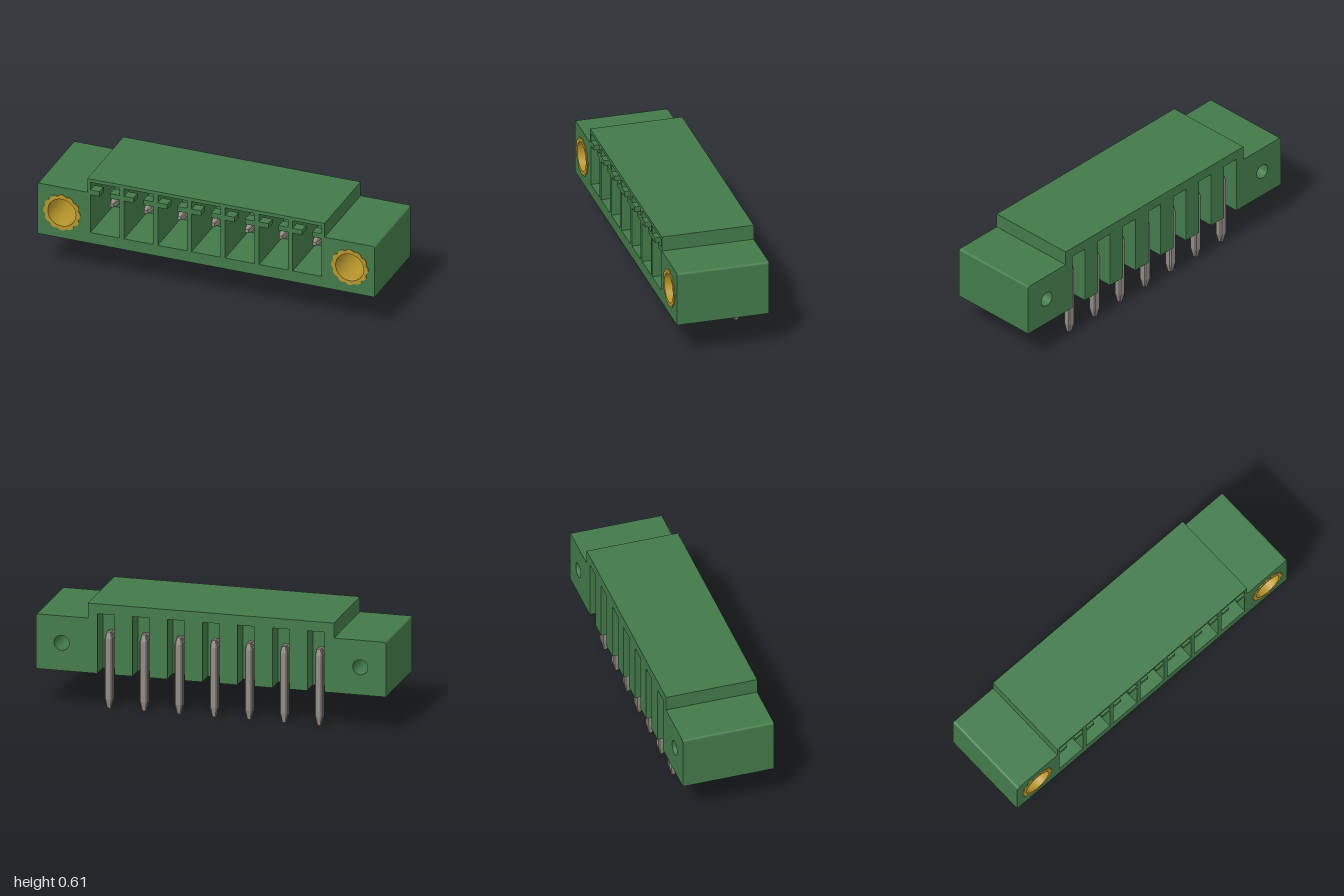
import * as THREE from 'three';

const PITCH = 0.2, COUNT = 7, PIN_Y = 0.415, PIN_Z = -0.193;
const BOTTOM = 0.213, FLANGE_TOP = 0.527, TOP = 0.613, BACK = -0.265, FRONT = 0.262;
const SCREW_X = 0.853, SCREW_Y = 0.372;
const columns = Array.from({ length: COUNT }, (_, i) => (i - (COUNT - 1) / 2) * PITCH);

const green = new THREE.MeshStandardMaterial({ color: 0x437a4a });
green.name = 'green plastic';
const brass = new THREE.MeshStandardMaterial({ color: 0xb8962c, side: THREE.DoubleSide });
brass.name = 'brass';
const tin = new THREE.MeshStandardMaterial({ color: 0x918b84 });
tin.name = 'tinned metal';

function add(parent, name, geometry, material, x = 0, y = 0, z = 0) {
  const mesh = new THREE.Mesh(geometry, material);
  mesh.name = name;
  mesh.position.set(x, y, z);
  parent.add(mesh);
  return mesh;
}

// Housing outline; the rear layer gets open-bottomed slots for the pins
function outline(slotted) {
  const s = new THREE.Shape();
  const c = 0.015;
  s.moveTo(-1, BOTTOM);
  if (slotted) {
    for (const x of columns) {
      s.lineTo(x - 0.049, BOTTOM);
      s.lineTo(x - 0.049, 0.556);
      s.lineTo(x + 0.049, 0.556);
      s.lineTo(x + 0.049, BOTTOM);
    }
  }
  s.lineTo(1, BOTTOM);
  s.lineTo(1, FLANGE_TOP - c);
  s.quadraticCurveTo(1, FLANGE_TOP, 1 - c, FLANGE_TOP);
  s.lineTo(0.703, FLANGE_TOP);
  s.lineTo(0.703, TOP);
  s.lineTo(-0.703, TOP);
  s.lineTo(-0.703, FLANGE_TOP);
  s.lineTo(-1 + c, FLANGE_TOP);
  s.quadraticCurveTo(-1, FLANGE_TOP, -1, FLANGE_TOP - c);
  s.closePath();
  return s;
}

// One slice of the housing between two depths
function layer(parent, name, z0, z1, { slotted = false, pockets = false, screwRadius }) {
  const s = outline(slotted);
  for (const side of [-1, 1]) {
    s.holes.push(new THREE.Path().absarc(side * SCREW_X, SCREW_Y, screwRadius, 0, Math.PI * 2, true));
  }
  if (pockets) {
    for (const x of columns) {
      s.holes.push(new THREE.Path([
        [-0.086, 0.28], [-0.086, 0.592], [0.086, 0.592], [0.086, 0.28],
      ].map(([px, py]) => new THREE.Vector2(x + px, py))));
    }
  }
  const geometry = new THREE.ExtrudeGeometry(s, { depth: z1 - z0, bevelEnabled: false, curveSegments: 20 });
  add(parent, name, geometry, green, 0, 0, z0);
}

// Square bar with small chamfers, lofted along y from [height, width] rings
function bar(rings) {
  const corners = [[1, 0.7], [0.7, 1], [-0.7, 1], [-1, 0.7], [-1, -0.7], [-0.7, -1], [0.7, -1], [1, -0.7]];
  const pos = [], index = [];
  for (const [y, w] of rings) for (const [a, b] of corners) pos.push(a * w / 2, y, b * w / 2);
  const last = (rings.length - 1) * 8;
  for (let r = 0; r < rings.length - 1; r++) {
    for (let i = 0; i < 8; i++) {
      const a = r * 8 + i, b = r * 8 + (i + 1) % 8;
      index.push(a, a + 8, b, b, a + 8, b + 8);
    }
  }
  for (let i = 1; i < 7; i++) {
    index.push(0, i, i + 1);
    index.push(last, last + i + 1, last + i);
  }
  let g = new THREE.BufferGeometry();
  g.setAttribute('position', new THREE.Float32BufferAttribute(pos, 3));
  g.setIndex(index);
  g = g.toNonIndexed();
  g.computeVertexNormals();
  return g;
}

// Flat brass collar with a scalloped rim
function collarGeometry() {
  const points = [];
  for (let i = 0; i < 96; i++) {
    const a = i / 96 * Math.PI * 2;
    const r = 0.1 + 0.01 * Math.abs(Math.cos(a * 6));
    points.push(new THREE.Vector2(Math.cos(a) * r, Math.sin(a) * r));
  }
  const s = new THREE.Shape(points);
  s.holes.push(new THREE.Path().absarc(0, 0, 0.083, 0, Math.PI * 2, true));
  return new THREE.ExtrudeGeometry(s, { depth: 0.007, bevelEnabled: false, curveSegments: 24 });
}

export function createModel() {
  const model = new THREE.Group();
  model.name = 'pinHeader';

  const housing = new THREE.Group();
  housing.name = 'housing';
  model.add(housing);
  layer(housing, 'housingFront', 0, FRONT, { pockets: true, screwRadius: 0.086 });
  layer(housing, 'housingMiddle', -0.1, 0, { pockets: true, screwRadius: 0.043 });
  layer(housing, 'housingWall', -0.15, -0.1, { screwRadius: 0.043 });
  layer(housing, 'housingRear', BACK, -0.15, { slotted: true, screwRadius: 0.043 });

  // Latch ledges, corner keys and pin bosses inside each pocket
  const ledge = new THREE.BoxGeometry(0.056, 0.03, 0.06);
  const lowerKey = new THREE.BoxGeometry(0.04, 0.065, 0.03);
  const upperKey = new THREE.BoxGeometry(0.04, 0.07, 0.03);
  const boss = new THREE.CylinderGeometry(0.027, 0.048, 0.02, 24).rotateX(Math.PI / 2);
  for (const x of columns) {
    for (const side of [-1, 1]) {
      add(housing, 'latchLedge', ledge, green, x + side * 0.058, 0.53, FRONT - 0.03);
      add(housing, 'lowerKey', lowerKey, green, x + side * 0.066, 0.3125, -0.086);
      add(housing, 'upperKey', upperKey, green, x + side * 0.066, 0.48, -0.086);
    }
    add(housing, 'pinBoss', boss, green, x, PIN_Y, -0.091);
  }

  // Right-angle pins: a solder leg going down and a contact going forward
  const leg = bar([[0, 0.022], [0.055, 0.045], [0.4, 0.045], [0.438, 0.028]]);
  const contact = bar([[PIN_Z, 0.04], [0.13, 0.04], [0.16, 0.02]]).rotateX(Math.PI / 2);
  for (const x of columns) {
    const pin = new THREE.Group();
    pin.name = 'pin';
    pin.position.x = x;
    add(pin, 'solderLeg', leg, tin, 0, 0, PIN_Z);
    add(pin, 'contact', contact, tin, 0, PIN_Y, 0);
    model.add(pin);
  }

  // Brass inserts in the flanges
  const collar = collarGeometry();
  const sleeve = new THREE.LatheGeometry(
    [[0.083, 0.262], [0.083, 0.004]].map(p => new THREE.Vector2(...p)), 40).rotateX(Math.PI / 2);
  const seat = new THREE.RingGeometry(0.043, 0.083, 40);
  for (const side of [-1, 1]) {
    const insert = new THREE.Group();
    insert.name = side > 0 ? 'leftInsert' : 'rightInsert';
    insert.position.set(side * SCREW_X, SCREW_Y, 0);
    add(insert, 'collar', collar, brass, 0, 0, 0.26);
    add(insert, 'sleeve', sleeve, brass);
    add(insert, 'seat', seat, brass, 0, 0, 0.004);
    model.add(insert);
  }
  return model;
}
